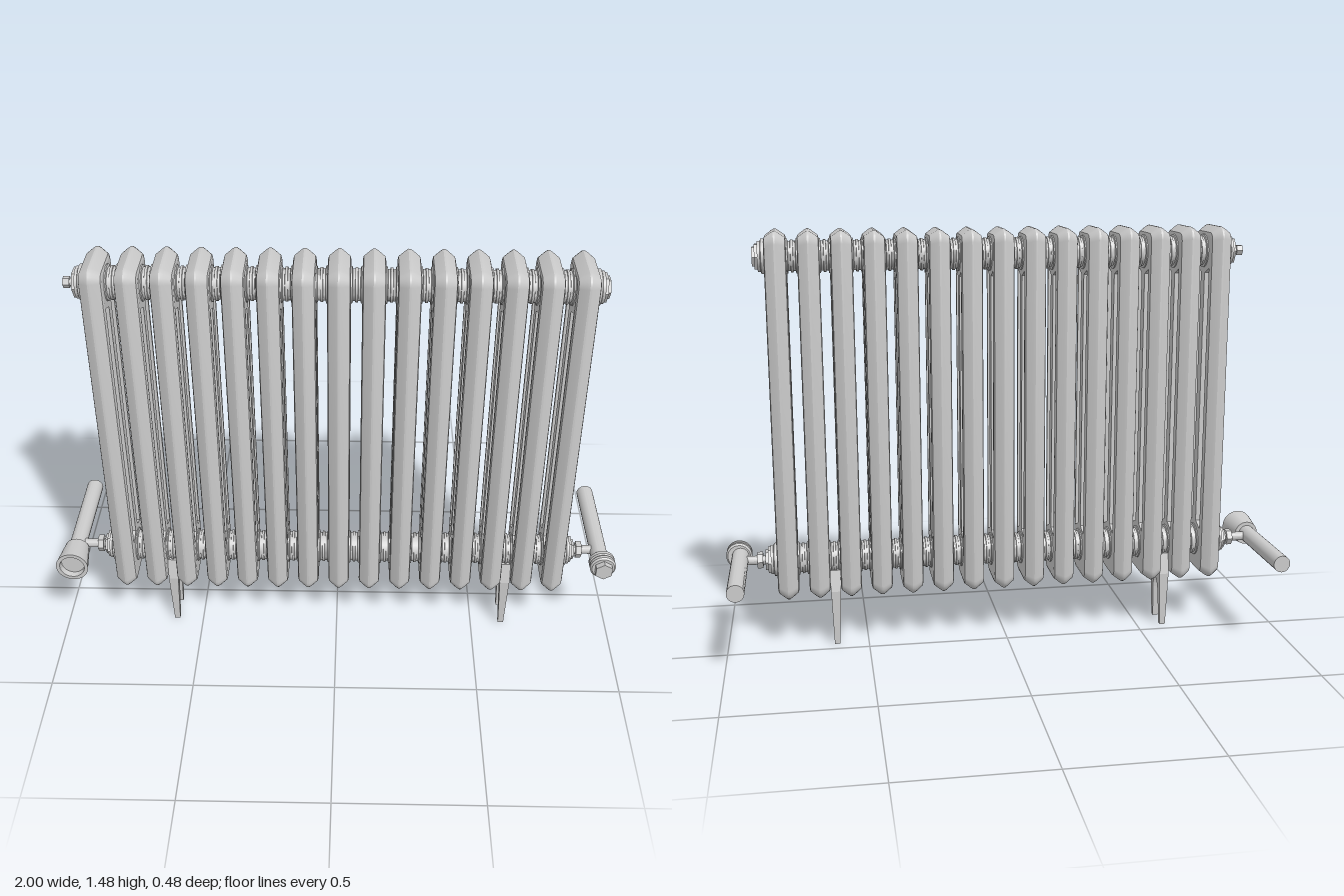
import * as THREE from 'three';
import { toCreasedNormals } from 'three/addons/utils/BufferGeometryUtils.js';

const mat = new THREE.MeshStandardMaterial({ color: 0xcccccc });
const COUNT = 15, PITCH = 0.11, XC = 0.008, ZC = 0.1, HALF = 0.037;
const TOP = 1.475, BOTTOM = 0.187, Y_HIGH = 1.387, Y_LOW = 0.313;
const sectionX = (i) => XC + PITCH * (i - (COUNT - 1) / 2);

function add(parent, name, geo, x = 0, y = 0, z = 0) {
  const mesh = new THREE.Mesh(geo, mat);
  mesh.name = name;
  mesh.position.set(x, y, z);
  parent.add(mesh);
  return mesh;
}

// Turned part: profile of [radius, distance] pairs along +x, -x or +z
function turned(profile, axis, sides = 32) {
  const pts = profile.map(([r, t]) => new THREE.Vector2(r, t));
  const geo = new THREE.LatheGeometry(pts, sides);
  if (axis === 'z') geo.rotateX(Math.PI / 2);
  else geo.rotateZ(axis === '-x' ? Math.PI / 2 : -Math.PI / 2);
  return toCreasedNormals(geo, 0.5);
}
const rod = (r, a, b, axis, sides) => turned([[0, a], [r, a], [r, b], [0, b]], axis, sides);

// Rounded rectangle of a section (z, y), drawn in by an inset
function outline(inset) {
  const w = 0.11 - inset, h = (TOP - BOTTOM) / 2 - inset;
  const r = Math.max(0.04 - inset * 0.6, 0.015), n = 5, pts = [];
  [[1, 1], [-1, 1], [-1, -1], [1, -1]].forEach(([sz, sy], c) => {
    for (let k = 0; k <= n; k++) {
      const a = (c + k / n) * Math.PI / 2;
      pts.push(new THREE.Vector2(sz * (w - r) + r * Math.cos(a), sy * (h - r) + r * Math.sin(a)));
    }
  });
  return pts;
}

// Rim with a central ridge, lofted across the section's thickness
function rimGeometry() {
  const half = [[HALF, 0.031], [0.034, 0.021], [0.012, 0.005], [0.003, 0]];
  const rings = [...half.map(([x, i]) => [-x, i]), ...half.slice().reverse()];
  const pos = [], idx = [], n = outline(0).length;
  rings.forEach(([x, inset], j) => {
    outline(inset).forEach((p, k) => {
      pos.push(x, p.y, p.x);
      if (j === rings.length - 1) return;
      const a = j * n + k, b = j * n + (k + 1) % n;
      idx.push(a, a + n, b, b, a + n, b + n);
    });
  });
  const geo = new THREE.BufferGeometry();
  geo.setAttribute('position', new THREE.Float32BufferAttribute(pos, 3));
  geo.setIndex(idx);
  return toCreasedNormals(geo, 0.45);
}

// Flat body with two long slots that leave three columns
function bodyGeometry() {
  const shape = new THREE.Shape(outline(0.031));
  const mid = (TOP + BOTTOM) / 2;
  for (const s of [-1, 1]) {
    shape.holes.push(new THREE.Path([
      [0.02, 0.39], [0.067, 0.37], [0.067, 1.33], [0.02, 1.31],
    ].map(([z, y]) => new THREE.Vector2(s * z, y - mid))));
  }
  const geo = new THREE.ExtrudeGeometry(shape, { depth: HALF * 2, bevelEnabled: false });
  return geo.translate(0, 0, -HALF).rotateY(Math.PI / 2);
}

// Forked foot, narrowing towards the floor
function footGeometry() {
  const s = new THREE.Shape();
  s.moveTo(-0.057, 0);
  s.lineTo(-0.039, 0);
  s.lineTo(-0.031, 0.12);
  s.bezierCurveTo(-0.026, 0.187, 0.026, 0.187, 0.031, 0.12);
  s.lineTo(0.039, 0);
  s.lineTo(0.057, 0);
  s.lineTo(0.062, 0.2);
  s.lineTo(0.045, 0.275);
  s.lineTo(-0.045, 0.275);
  s.lineTo(-0.062, 0.2);
  s.closePath();
  const geo = new THREE.ExtrudeGeometry(s, { depth: 1, bevelEnabled: false, curveSegments: 14 });
  geo.translate(0, 0, -0.5).rotateY(Math.PI / 2);
  const p = geo.attributes.position;
  for (let i = 0; i < p.count; i++) {
    p.setX(i, p.getX(i) * (0.02 + 0.018 * Math.min(p.getY(i) / 0.25, 1)));
  }
  geo.computeVertexNormals();
  return geo;
}

export function createModel() {
  const model = new THREE.Group();
  model.name = 'radiator';

  // Sections and the nipples that join them
  const rim = rimGeometry(), body = bodyGeometry(), midY = (TOP + BOTTOM) / 2;
  const nipple = turned([
    [0.059, -0.02], [0.059, -0.014], [0.051, -0.012], [0.051, -0.005], [0.055, -0.004],
    [0.055, 0.004], [0.051, 0.005], [0.051, 0.012], [0.059, 0.014], [0.059, 0.02],
  ], 'x');
  for (let i = 0; i < COUNT; i++) {
    const section = new THREE.Group();
    section.name = 'section';
    section.position.set(sectionX(i), midY, ZC);
    add(section, 'sectionRim', rim);
    add(section, 'sectionColumns', body);
    model.add(section);
    if (i === COUNT - 1) continue;
    for (const y of [Y_HIGH, Y_LOW]) add(model, 'nipple', nipple, sectionX(i) + PITCH / 2, y, ZC);
  }

  // End plugs: round collar, then hexagonal head with a smaller hexagon
  for (const [axis, x] of [['x', sectionX(COUNT - 1) + HALF], ['-x', sectionX(0) - HALF]]) {
    const collar = turned([[0.059, -0.002], [0.059, 0.01], [0.052, 0.013], [0.052, 0.022], [0, 0.022]], axis);
    for (const y of [Y_HIGH, Y_LOW]) {
      add(model, 'plugCollar', collar, x, y, ZC);
      add(model, 'plugHead', rod(0.048, 0.02, 0.032, axis, 6), x, y, ZC);
      if (axis === 'x' || y === Y_LOW) add(model, 'plugHexagon', rod(0.037, 0.03, 0.041, axis, 6), x, y, ZC);
    }
    // Link from the bottom plug to the valve
    add(model, 'valveLink', rod(0.016, 0.03, 0.135, axis, 20), x, Y_LOW, ZC);
    add(model, 'valveNut', rod(0.03, 0.05, 0.07, axis, 6), x, Y_LOW, ZC);
  }

  // Air vent on the upper right end
  const ventX = sectionX(0) - HALF;
  add(model, 'airVentStem', rod(0.012, 0.03, 0.062, '-x', 16), ventX, Y_HIGH, ZC);
  add(model, 'airVentHead', rod(0.019, 0.045, 0.066, '-x', 6), ventX, Y_HIGH, ZC);

  // Supply pipe with flared, cup-shaped hand wheel
  const pipe = rod(0.03, -0.24, 0.16, 'z', 24);
  add(model, 'supplyPipe', pipe, -0.944, Y_LOW);
  add(model, 'handWheel', turned([
    [0, 0.13], [0.043, 0.13], [0.057, 0.236], [0.044, 0.236], [0.041, 0.215], [0, 0.215],
  ], 'z'), -0.943, Y_LOW);

  // Return pipe with lockshield valve
  add(model, 'returnPipe', pipe, 0.947, Y_LOW);
  add(model, 'lockshieldCollar', turned([
    [0, 0.155], [0.04, 0.155], [0.046, 0.162], [0.046, 0.175], [0.041, 0.179], [0.041, 0.182],
    [0.046, 0.186], [0.046, 0.198], [0.04, 0.204], [0, 0.204],
  ], 'z'), 0.952, Y_LOW);
  add(model, 'lockshieldCap', rod(0.033, 0.2, 0.225, 'z', 6), 0.952, Y_LOW);

  // Feet in the second gap from each end
  const foot = footGeometry();
  for (const i of [1.5, COUNT - 2.5]) add(model, 'foot', foot, sectionX(i), 0, ZC);

  return model;
}
